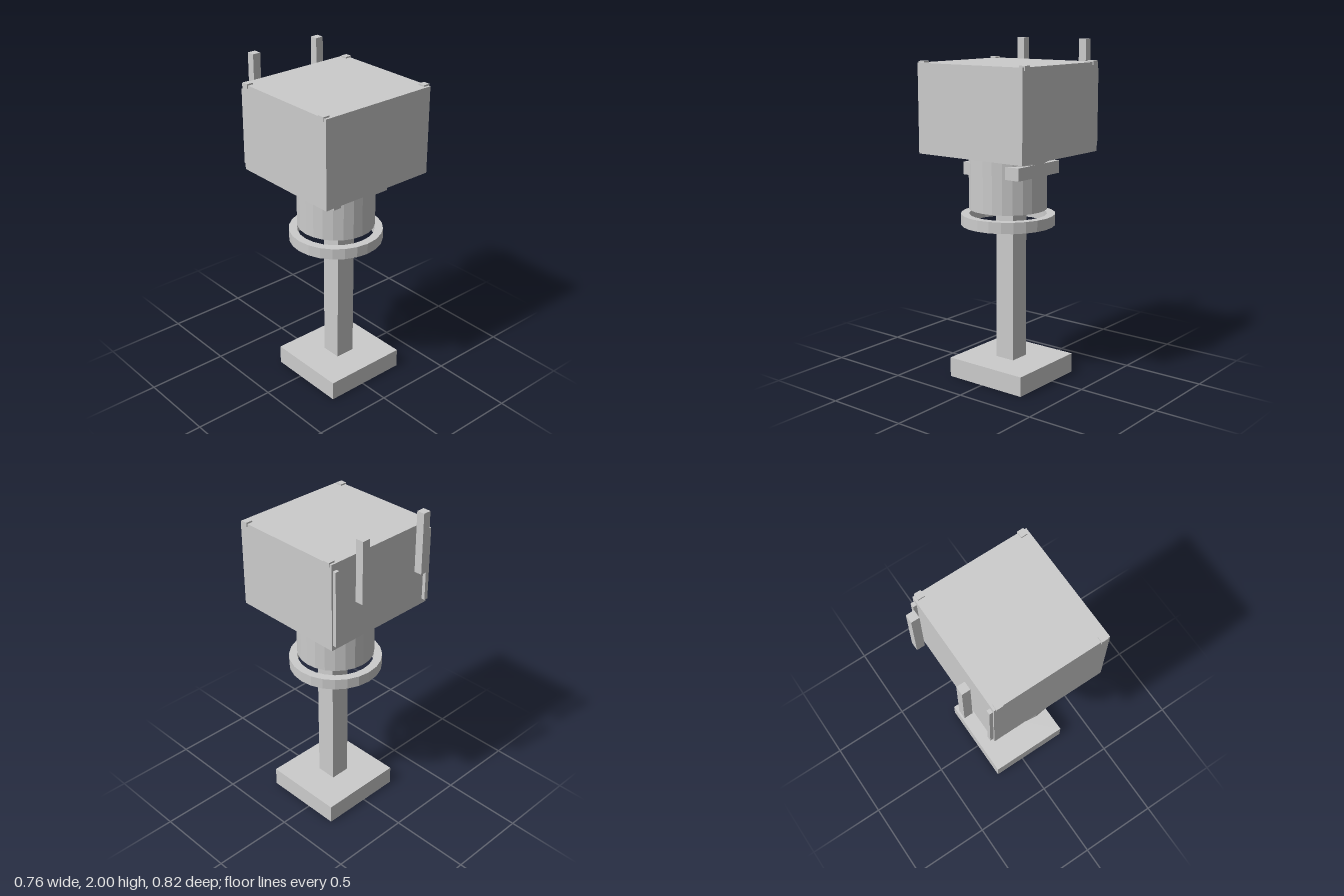
import * as THREE from 'three';

export function createModel() {
  const model = new THREE.Group();
  const lightGrey = new THREE.MeshStandardMaterial({ color: 0xcccccc, flatShading: true });
  lightGrey.name = 'lightGrey';

  const add = (name, geometry, x, y, z) => {
    const mesh = new THREE.Mesh(geometry, lightGrey);
    mesh.name = name;
    mesh.position.set(x, y, z);
    model.add(mesh);
    return mesh;
  };
  // Box given by its limits on each axis
  const box = (name, [x0, x1], [y0, y1], [z0, z1]) =>
    add(name, new THREE.BoxGeometry(x1 - x0, y1 - y0, z1 - z0),
      (x0 + x1) / 2, (y0 + y1) / 2, (z0 + z1) / 2);

  const sides = 24;
  const axisX = -0.002, axisZ = 0.054;

  // Foot and post
  box('base', [-0.243, 0.29], [0, 0.118], [-0.2, 0.309]);
  box('post', [-0.04, 0.085], [0.118, 1.06], [-0.009, 0.118]);

  // Loose ring around the post
  const ringProfile = [[0.229, 0.931], [0.278, 0.931], [0.278, 0.997], [0.229, 0.997], [0.229, 0.931]]
    .map(([r, y]) => new THREE.Vector2(r, y));
  add('ring', new THREE.LatheGeometry(ringProfile, sides), axisX, 0, axisZ);

  // Neck drum, with a square plate whose corners poke through it
  add('drum', new THREE.CylinderGeometry(0.23, 0.23, 0.331, sides), axisX, 1.1925, axisZ);
  box('drumPlate', [-0.18, 0.224], [1.233, 1.307], [-0.14, 0.243]);

  // Head
  box('head', [-0.376, 0.374], [1.356, 1.875], [-0.306, 0.406]);

  // Mirrored small parts: corner studs, back strips and rear prongs
  for (const [side, s] of [['left', 1], ['right', -1]]) {
    const span = (a, b) => (s > 0 ? [a - 0.001, b - 0.001] : [-b - 0.001, -a - 0.001]);
    box(side + 'FrontStud', span(0.34, 0.381), [1.858, 1.884], [0.35, 0.391]);
    box(side + 'BackStud', span(0.34, 0.381), [1.858, 1.884], [-0.293, -0.252]);
    box(side + 'BackStrip', span(0.34, 0.366), [1.386, 1.836], [-0.327, -0.3]);
    box(side + 'Prong', span(0.204, 0.254), [1.635, 2], [-0.409, -0.36]);
  }
  return model;
}
